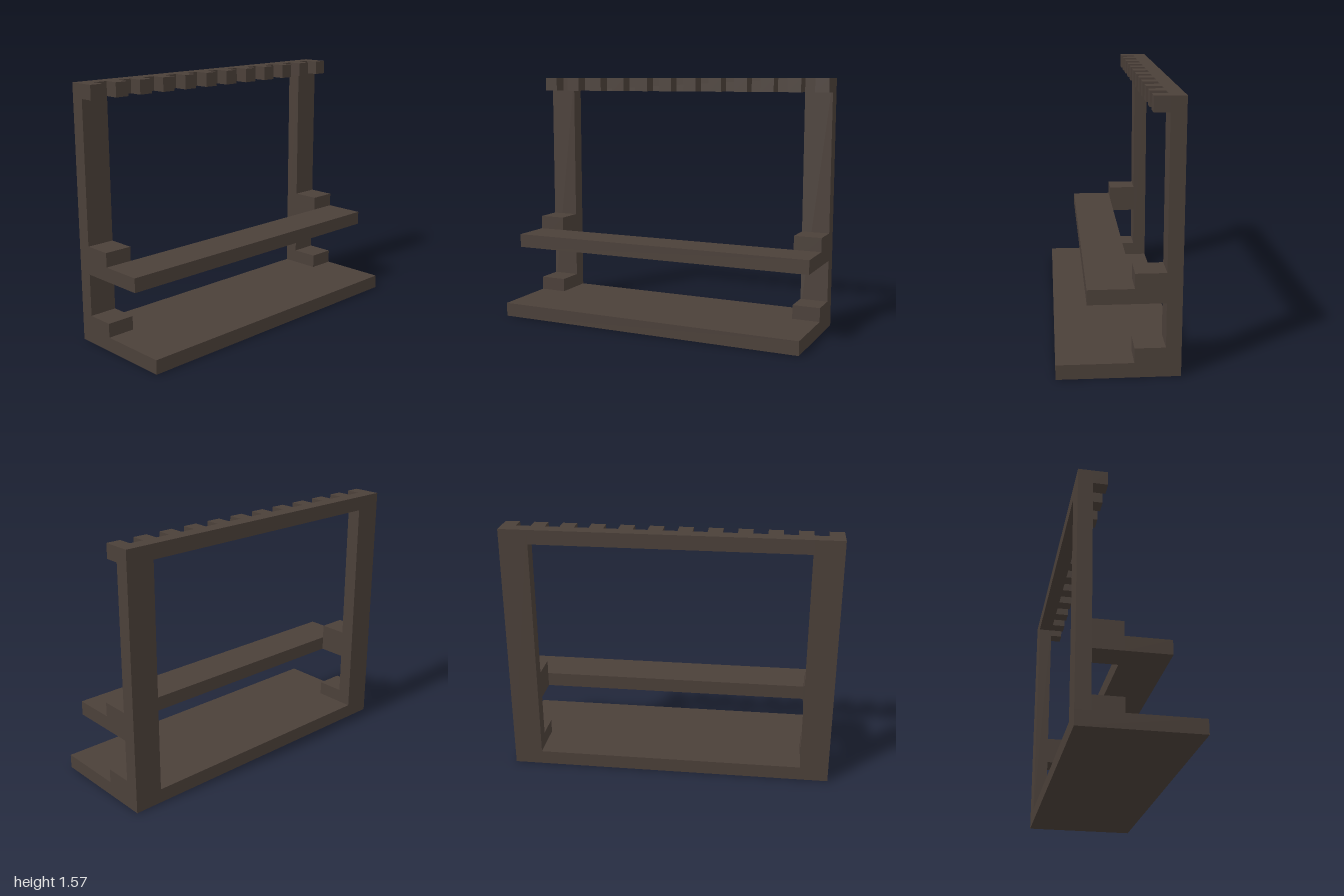
import * as THREE from 'three';

// The rack is laid out on a grid 23 units wide, 18 high and 8 deep.
const U = 2 / 23;

export function createModel() {
  const model = new THREE.Group();
  model.name = 'rack';
  const darkWood = new THREE.MeshStandardMaterial({ color: 0x4b4039 });
  darkWood.name = 'darkWood';

  // Box between two corners given in grid units
  const block = (name, [x0, y0, z0], [x1, y1, z1]) => {
    const mesh = new THREE.Mesh(
      new THREE.BoxGeometry((x1 - x0) * U, (y1 - y0) * U, (z1 - z0) * U), darkWood);
    mesh.position.set((x0 + x1) / 2 * U, (y0 + y1) / 2 * U, (z0 + z1) / 2 * U);
    mesh.name = name;
    model.add(mesh);
  };

  // Base board, raised shelf and top rail
  block('base', [-11.5, 0, -4], [11.5, 1, 4]);
  block('shelf', [-11.5, 5, -1], [11.5, 6, 2]);
  block('topRail', [-9.5, 17, -4], [9.5, 18, -3]);

  // Posts with their foot blocks and shelf brackets
  for (const [side, x] of [['right', -11.5], ['left', 9.5]]) {
    block(side + 'Post', [x, 1, -4], [x + 2, 18, -3]);
    block(side + 'FootBlock', [x, 1, -3], [x + 2, 2, -1]);
    block(side + 'ShelfBracket', [x, 5, -3], [x + 2, 7, -1]);
  }

  // Comb of twelve teeth along the top rail
  for (let i = 0; i < 12; i++) {
    const x = -11.5 + 2 * i;
    block('railTooth' + (i + 1), [x, 17, -3], [x + 1, 18, -2]);
  }

  return model;
}
